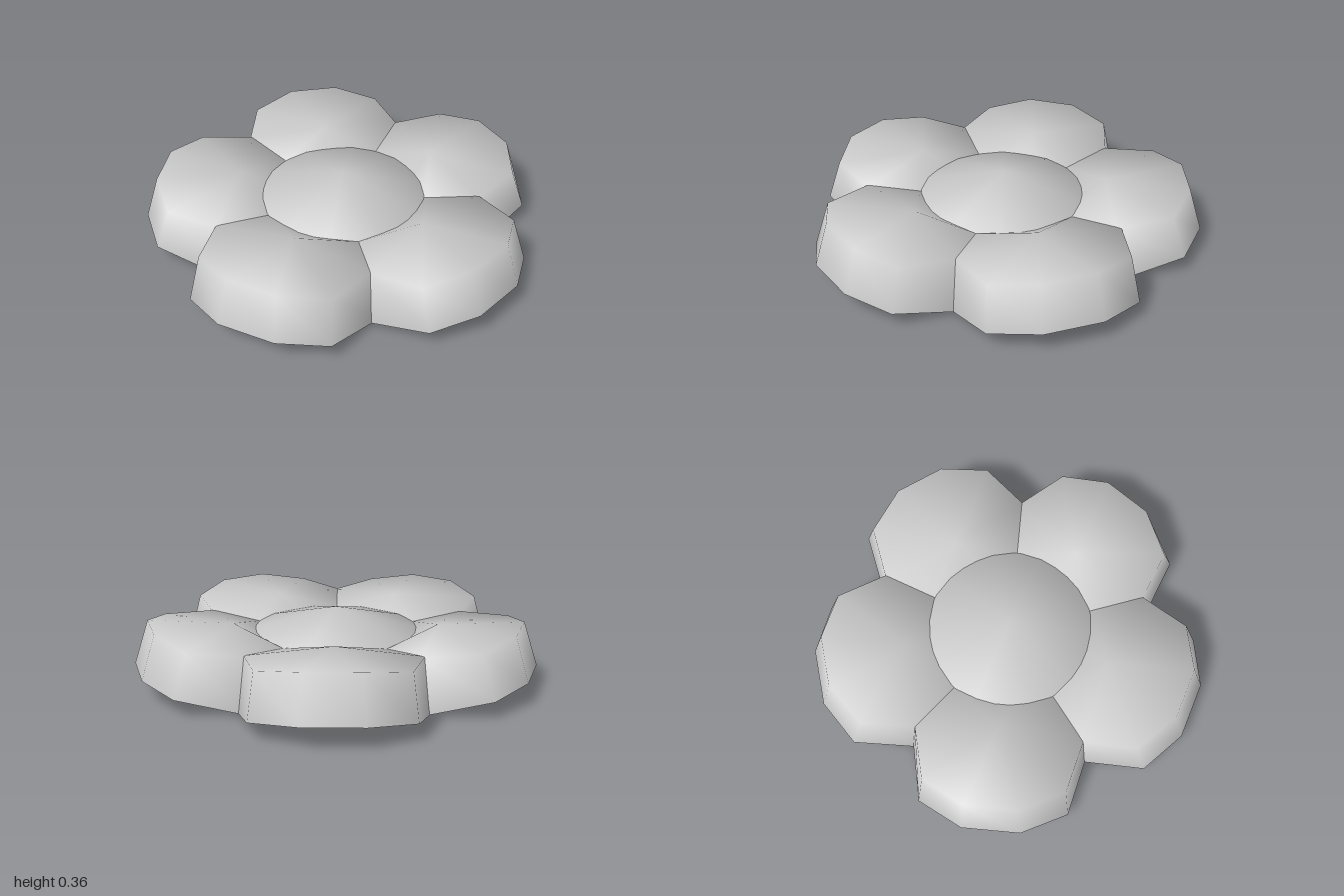
import * as THREE from 'three';

// Smooth dome: an apex joined to a cap ring, then a wall down to an open rim.
function dome(apex, cap, rim) {
  const n = cap.length;
  const pos = [apex, ...cap, ...rim].flat();
  const index = [];
  for (let i = 0; i < n; i++) {
    const a = 1 + i, b = 1 + (i + 1) % n;
    index.push(0, a, b, a, a + n, b + n, a, b + n, b);
  }
  const g = new THREE.BufferGeometry();
  g.setAttribute('position', new THREE.Float32BufferAttribute(pos, 3));
  g.setIndex(index);
  g.computeVertexNormals();
  return g;
}

// Mirrors half an outline, given from the outer tip inwards, into a closed ring.
function mirrorRing(half) {
  const left = half.map(([x, y, z]) => [-x, y, z]);
  return [...half, ...left.reverse()].reverse();
}

// Regular ten-sided ring with a flat side towards +z.
function ring(radius, y) {
  return Array.from({ length: 10 }, (_, i) => {
    const a = (i + 0.5) * Math.PI / 5;
    return [radius * Math.sin(a), y, radius * Math.cos(a)];
  });
}

export function createModel() {
  const model = new THREE.Group();
  model.name = 'flower';
  const grey = new THREE.MeshStandardMaterial({ color: 0xc8c8c8, side: THREE.DoubleSide });
  grey.name = 'light grey';

  // Petal: a dome leaning inwards, its outer rim lifted and its inner rim on the ground
  const cap = mirrorRing([
    [0.13, 0.33, 0.935], [0.345, 0.295, 0.82], [0.415, 0.275, 0.55],
    [0.33, 0.22, 0.28], [0.13, 0.1, 0.13],
  ]);
  const rim = mirrorRing([
    [0.145, 0.11, 1.005], [0.37, 0.083, 0.89], [0.45, 0, 0.56],
    [0.37, 0, 0.3], [0.14, 0, 0.16],
  ]);
  const petalGeometry = dome([0, 0.315, 0.53], cap.reverse(), rim.reverse());
  // Keep the outside facing up whichever way the ring runs
  if (petalGeometry.attributes.normal.getY(0) < 0) {
    const idx = petalGeometry.index.array;
    for (let i = 0; i < idx.length; i += 3) [idx[i + 1], idx[i + 2]] = [idx[i + 2], idx[i + 1]];
    petalGeometry.computeVertexNormals();
  }

  const petals = new THREE.Group();
  petals.name = 'petals';
  for (let i = 0; i < 5; i++) {
    const petal = new THREE.Mesh(petalGeometry, grey);
    petal.name = 'petal' + (i + 1);
    petal.rotation.y = i * Math.PI * 2 / 5;
    petals.add(petal);
  }
  model.add(petals);

  // Flower centre: an upright dome
  const centre = new THREE.Mesh(dome([0, 0.36, 0], ring(0.44, 0.245), ring(0.5, 0.04)), grey);
  centre.name = 'flowerCentre';
  model.add(centre);

  model.position.z = -0.037;
  return model;
}
